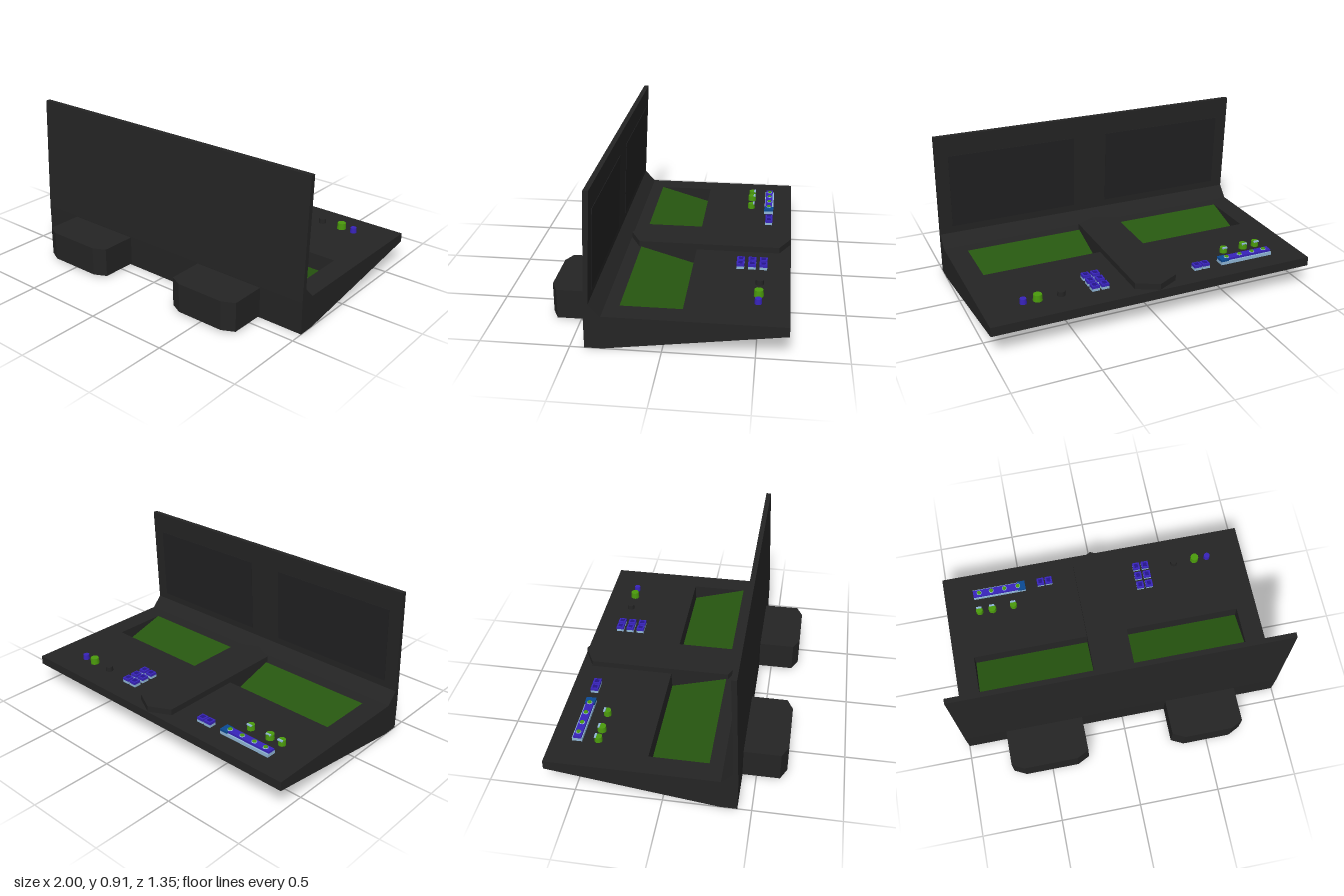
import * as THREE from 'three';

const mat = (name, color) => {
  const m = new THREE.MeshStandardMaterial({ color });
  m.name = name;
  return m;
};

export function createModel() {
  const root = new THREE.Group();
  root.name = 'controlConsole';
  const casing = mat('charcoal casing', 0x242424);
  const display = mat('dark display', 0x202021);
  const screenGreen = mat('screen green', 0x275710);
  const lampGreen = mat('lamp green', 0x4a9a0c);
  const violet = mat('button violet', 0x3823bb);
  const navy = mat('inset navy', 0x24148a);
  const pale = mat('pale blue', 0x8fb6d6);
  const blue = mat('deep blue', 0x0b4a94);

  const DECK = 0.195;
  const add = (name, geo, material, x = 0, y = 0, z = 0, parent = root) => {
    const m = new THREE.Mesh(geo, material);
    m.name = name;
    m.position.set(x, y, z);
    parent.add(m);
    return m;
  };

  // Side profile of [z, y] points swept from x0 to x1
  const sweep = (name, pts, x0, x1, material) => {
    const shape = new THREE.Shape(pts.map(([z, y]) => new THREE.Vector2(-z, y)));
    const g = new THREE.ExtrudeGeometry(shape, { depth: x1 - x0, bevelEnabled: false });
    g.rotateY(Math.PI / 2);
    return add(name, g, material, x0);
  };
  // Plan outline of [x, z] points raised from y0 to y1
  const raise = (name, pts, y0, y1, material) => {
    const shape = new THREE.Shape(pts.map(([x, z]) => new THREE.Vector2(x, -z)));
    const g = new THREE.ExtrudeGeometry(shape, { depth: y1 - y0, bevelEnabled: false });
    g.rotateX(-Math.PI / 2);
    return add(name, g, material, 0, y0);
  };

  // Body: wedge desk and upright panel, with screen wells in two sections
  const recess = [[-0.1, DECK], [-0.095, 0.095], [0.245, DECK]];
  const profile = (cut) => [
    [0.42, 0], [0.32, 0], [-0.675, 0.14], [-0.675, DECK], ...cut,
    [0.325, DECK], [0.39, 0.265], [0.36, 0.91], [0.39, 0.91], [0.42, 0.19],
  ];
  const cuts = [-1, -0.87, -0.13, 0.13, 0.87, 1];
  for (let i = 0; i < 5; i++) {
    sweep('consoleBody', profile(i % 2 ? recess : []), cuts[i], cuts[i + 1], casing);
  }

  // Tilted desk screens and flat displays on the upright panel
  for (const [x0, x1] of [[-0.87, -0.13], [0.13, 0.87]]) {
    sweep('deskScreen', [[-0.095, 0.095], [0.245, DECK], [0.241, DECK + 0.001], [-0.095, 0.098]],
      x0 + 0.001, x1 - 0.001, screenGreen);
  }
  const panelZ = (y) => 0.39 - (y - 0.265) * (0.03 / 0.645);
  for (const [x0, x1] of [[-0.92, -0.11], [0.11, 0.92]]) {
    sweep('panelDisplay', [[panelZ(0.31), 0.31], [panelZ(0.78), 0.78],
      [panelZ(0.78) - 0.003, 0.78], [panelZ(0.31) - 0.003, 0.31]], x0, x1, display);
  }

  // Raised centre divider with pointed ends
  raise('centreDivider', [[0, -0.672], [0.13, -0.605], [0.13, 0.255], [0, 0.322],
    [-0.13, 0.255], [-0.13, -0.605]], DECK - 0.002, 0.232, casing);

  // Chamfered housings on the front
  for (const [x0, x1] of [[-0.742, -0.26], [0.275, 0.722]]) {
    raise('frontHousing', [[x0, 0.41], [x0, 0.635], [x0 + 0.075, 0.672],
      [x1 - 0.075, 0.672], [x1, 0.635], [x1, 0.41]], 0.01, 0.187, casing);
  }

  // Push buttons: pale base, violet cap, navy inset
  const pushButton = (x, z) => {
    const g = new THREE.Group();
    g.name = 'pushButton';
    g.position.set(x, DECK, z);
    root.add(g);
    add('buttonBase', new THREE.BoxGeometry(0.046, 0.016, 0.046), pale, 0, 0.008, 0, g);
    add('buttonCap', new THREE.BoxGeometry(0.046, 0.016, 0.046), violet, 0, 0.024, 0, g);
    add('buttonInset', new THREE.BoxGeometry(0.024, 0.003, 0.026), navy, 0, 0.0325, 0, g);
  };
  for (const z of [-0.515, -0.448, -0.38]) for (const x of [0.281, 0.34]) pushButton(x, z);
  for (const x of [-0.362, -0.308]) pushButton(x, -0.53);

  // Round knobs on the left of the desk
  const knob = (name, x, z, r, h, material, y = DECK) =>
    add(name, new THREE.CylinderGeometry(r * 0.92, r, h, 10), material, x, y + h / 2, z);
  knob('darkKnob', 0.535, -0.5, 0.024, 0.028, casing);
  knob('greenKnob', 0.675, -0.5, 0.028, 0.04, lampGreen);
  knob('violetKnob', 0.76, -0.5, 0.021, 0.032, violet);

  // Switch bar with four lamps
  add('switchBarBase', new THREE.BoxGeometry(0.345, 0.02, 0.06), pale, -0.638, DECK + 0.01, -0.525);
  add('switchBarTop', new THREE.BoxGeometry(0.3, 0.014, 0.046), violet, -0.66, DECK + 0.026, -0.523);
  add('switchBarEnd', new THREE.BoxGeometry(0.05, 0.014, 0.06), blue, -0.49, DECK + 0.026, -0.525);
  for (const x of [-0.77, -0.69, -0.603, -0.513]) {
    knob('barLampCollar', x, -0.525, 0.017, 0.004, pale, DECK + 0.032);
    knob('barLamp', x, -0.525, 0.013, 0.007, lampGreen, DECK + 0.034);
  }

  // Three toggles in front of the bar
  for (const [x, r] of [[-0.787, 0.024], [-0.702, 0.027], [-0.563, 0.024]]) {
    knob('toggleKnob', x, -0.405, r, 0.034, lampGreen);
    add('toggleTip', new THREE.BoxGeometry(0.034, 0.008, 0.012), pale, x, DECK + 0.034, -0.421);
  }
  return root;
}
